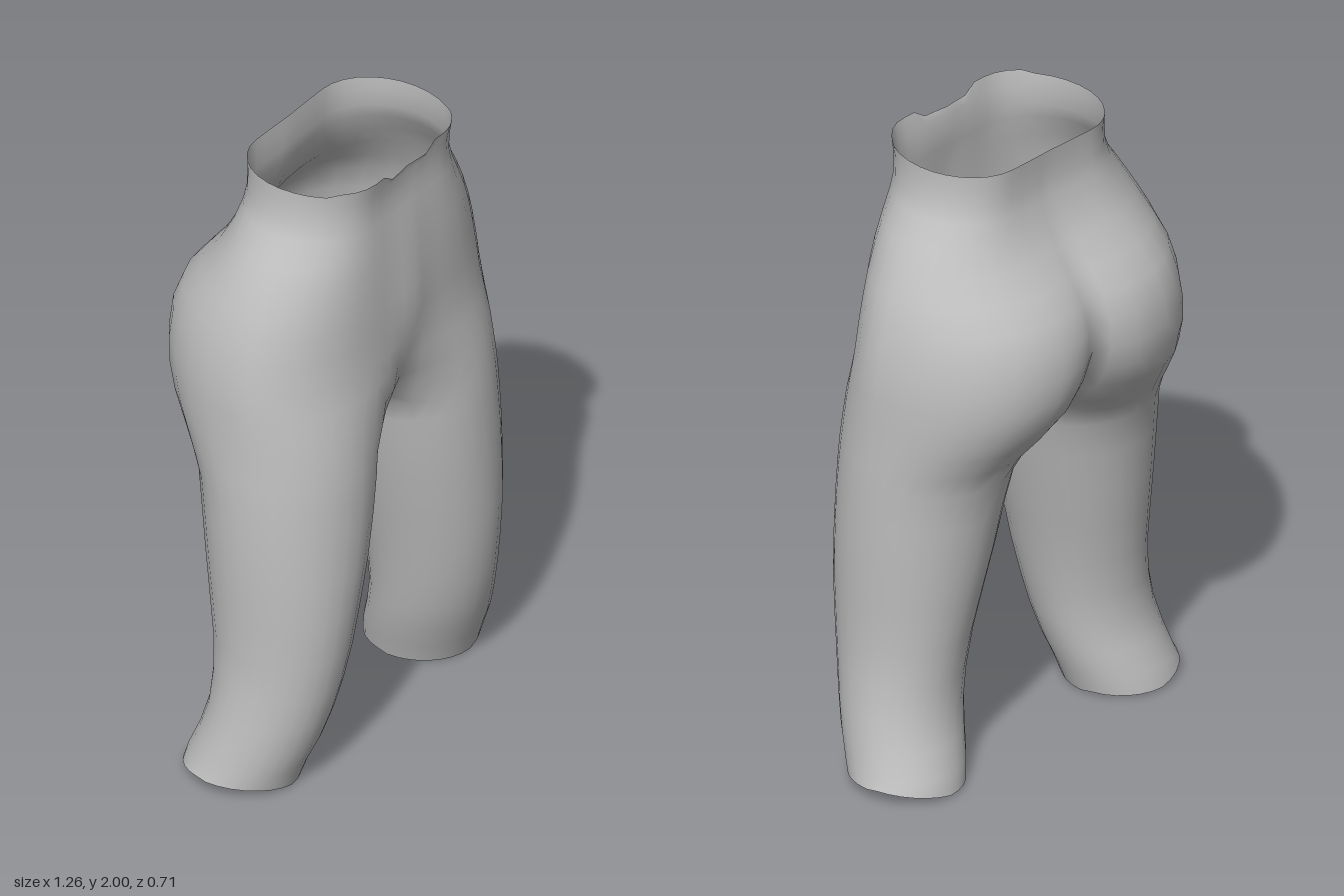
import * as THREE from 'three';
import { mergeVertices } from 'three/addons/utils/BufferGeometryUtils.js';

// Each row: y, outer x, outer z, front lobe x, front z, centre front z, back lobe x, back z, centre back z
const TORSO = [
  [1.99, 0.34, 0.08, 0.17, 0.305, 0.295, 0.17, -0.13, -0.127],
  [1.95, 0.34, 0.08, 0.17, 0.295, 0.29, 0.17, -0.127, -0.124],
  [1.89, 0.347, 0.08, 0.17, 0.29, 0.29, 0.17, -0.127, -0.122],
  [1.84, 0.367, 0.075, 0.17, 0.295, 0.297, 0.17, -0.135, -0.13],
  [1.77, 0.415, 0.07, 0.17, 0.3, 0.307, 0.17, -0.157, -0.15],
  [1.7, 0.455, 0.06, 0.18, 0.305, 0.314, 0.17, -0.195, -0.182],
  [1.62, 0.493, 0.055, 0.18, 0.308, 0.32, 0.17, -0.26, -0.235],
  [1.55, 0.518, 0.05, 0.18, 0.31, 0.324, 0.18, -0.315, -0.28],
  [1.47, 0.538, 0.05, 0.19, 0.31, 0.324, 0.18, -0.348, -0.305],
  [1.38, 0.553, 0.05, 0.21, 0.311, 0.312, 0.19, -0.355, -0.3],
  [1.3, 0.557, 0.055, 0.24, 0.32, 0.294, 0.2, -0.348, -0.265],
  [1.22, 0.56, 0.06, 0.27, 0.331, 0.268, 0.22, -0.318, -0.2],
  [1.14, 0.562, 0.065, 0.285, 0.34, 0.215, 0.25, -0.265, -0.1],
];
// Each row: y, outer x, outer z, front lobe x, front z, inner x, back lobe x, back z, inner z
const LEG = [
  [1.07, 0.566, 0.07, 0.295, 0.346, 0.034, 0.28, -0.215, 0.07],
  [1.0, 0.568, 0.08, 0.3, 0.35, 0.052, 0.3, -0.18, 0.08],
  [0.88, 0.57, 0.09, 0.315, 0.352, 0.08, 0.32, -0.16, 0.09],
  [0.74, 0.569, 0.1, 0.335, 0.35, 0.112, 0.335, -0.142, 0.1],
  [0.6, 0.565, 0.105, 0.36, 0.343, 0.147, 0.355, -0.12, 0.105],
  [0.46, 0.562, 0.11, 0.375, 0.328, 0.178, 0.375, -0.098, 0.11],
  [0.34, 0.57, 0.1, 0.39, 0.308, 0.203, 0.39, -0.086, 0.1],
  [0.24, 0.586, 0.085, 0.405, 0.284, 0.221, 0.405, -0.087, 0.085],
  [0.15, 0.602, 0.06, 0.425, 0.257, 0.24, 0.425, -0.108, 0.06],
  [0.07, 0.62, 0.035, 0.44, 0.222, 0.264, 0.445, -0.138, 0.035],
  [0.005, 0.63, 0.02, 0.45, 0.2, 0.283, 0.45, -0.15, 0.02],
];
const SIDE = 4, QUARTER = 7, CROTCH = 6;
const HALF = 2 * SIDE + 2 * QUARTER;   // last point index of a torso half ring
const FULL = HALF + CROTCH;            // points in a closed leg ring
const INNER = 2 * SIDE + CROTCH;       // steps along the inner side of a leg

// Rounded outside from the front lobe (u = 0) to the back lobe (u = 2)
function outerPoint([y, w, zw, xf, f, , xb, b], u) {
  const a = u * Math.PI / 2, front = u < 1;
  const x = front ? xf : xb, z = front ? f : b;
  return [x + (w - x) * Math.sin(a), y, zw + (z - zw) * Math.abs(Math.cos(a))];
}

// Half ring of the torso, from centre front round the hip to centre back
function torsoRing(r, isTop) {
  const [y, , , xf, f, zf, xb, b, zb] = r, pts = [];
  for (let k = 0; k <= HALF; k++) {
    if (k < SIDE) {
      const s = 1 - k / SIDE;
      pts.push([xf * (1 - s), y, f + (zf - f) * s * s]);
    } else if (k <= HALF - SIDE) {
      pts.push(outerPoint(r, (k - SIDE) / QUARTER));
    } else {
      const s = (k - HALF + SIDE) / SIDE;
      pts.push([xb * (1 - s), y, b + (zb - b) * s ** 2.4]);
    }
  }
  // the waistband dips at the centre front
  if (isTop) pts.forEach((p) => {
    if (p[2] > 0.25) p[1] += p[0] < 0.11 ? -0.018 : 0.01;
  });
  return pts;
}

// Closed ring of a leg
function legRing(r, isHem) {
  const [y, , , xf, f, inner, xb, b, zi] = r, pts = [];
  for (let k = 0; k < FULL; k++) {
    if (k >= SIDE && k <= HALF - SIDE) {
      pts.push(outerPoint(r, (k - SIDE) / QUARTER));
    } else {
      const step = k < SIDE ? k + FULL - HALF + SIDE : k - HALF + SIDE;
      const a = Math.PI * step / INNER, back = a < Math.PI / 2;
      const x = back ? xb : xf, z = back ? b : f;
      pts.push([x - (x - inner) * Math.sin(a), y, zi + (z - zi) * Math.abs(Math.cos(a))]);
    }
  }
  // the hem rises towards the outside
  if (isHem) pts.forEach((p) => {
    p[1] = Math.max(0, 0.035 * (p[0] - 0.45) / 0.18) + (p[2] < 0 ? 0.008 : 0.002);
  });
  return pts;
}

function buildBody() {
  const torso = TORSO.map((r, i) => torsoRing(r, i === 0));
  // close the last torso ring with the curve under the crotch
  const last = torso[torso.length - 1], crotch = last.slice();
  const zb = last[HALF][2], zf = last[0][2];
  for (let k = 1; k < CROTCH; k++) {
    const t = k / CROTCH;
    crotch.push([0, 1.14 - 0.028 * Math.sin(Math.PI * t), zb + (zf - zb) * t]);
  }
  const legs = [crotch, ...LEG.map((r, i) => legRing(r, i === LEG.length - 1))];

  const pos = [], index = [];
  const loft = (rings, closed, side) => {
    const n = rings[0].length, base = pos.length / 3;
    rings.forEach((ring) => ring.forEach((p) => pos.push(p[0] === 0 ? 0 : side * p[0], p[1], p[2])));
    for (let i = 0; i < rings.length - 1; i++) {
      for (let k = 0; k < (closed ? n : n - 1); k++) {
        const a = base + i * n + k, b = base + i * n + (k + 1) % n;
        const c = a + n, d = b + n;
        if (side > 0) index.push(a, c, b, b, c, d);
        else index.push(a, b, c, b, d, c);
      }
    }
  };
  for (const side of [1, -1]) {
    loft(torso, false, side);
    loft(legs, true, side);
  }
  let geo = new THREE.BufferGeometry();
  geo.setAttribute('position', new THREE.Float32BufferAttribute(pos, 3));
  geo.setIndex(index);
  geo = mergeVertices(geo, 1e-4);
  geo.computeVertexNormals();
  return geo;
}

export function createModel() {
  const grey = new THREE.MeshStandardMaterial({ color: 0xbfbfbf, side: THREE.DoubleSide });
  grey.name = 'plain grey';
  const group = new THREE.Group();
  group.name = 'trousers';
  // hips and both legs as one open shell
  const shell = new THREE.Mesh(buildBody(), grey);
  shell.name = 'trouserShell';
  group.add(shell);
  return group;
}
